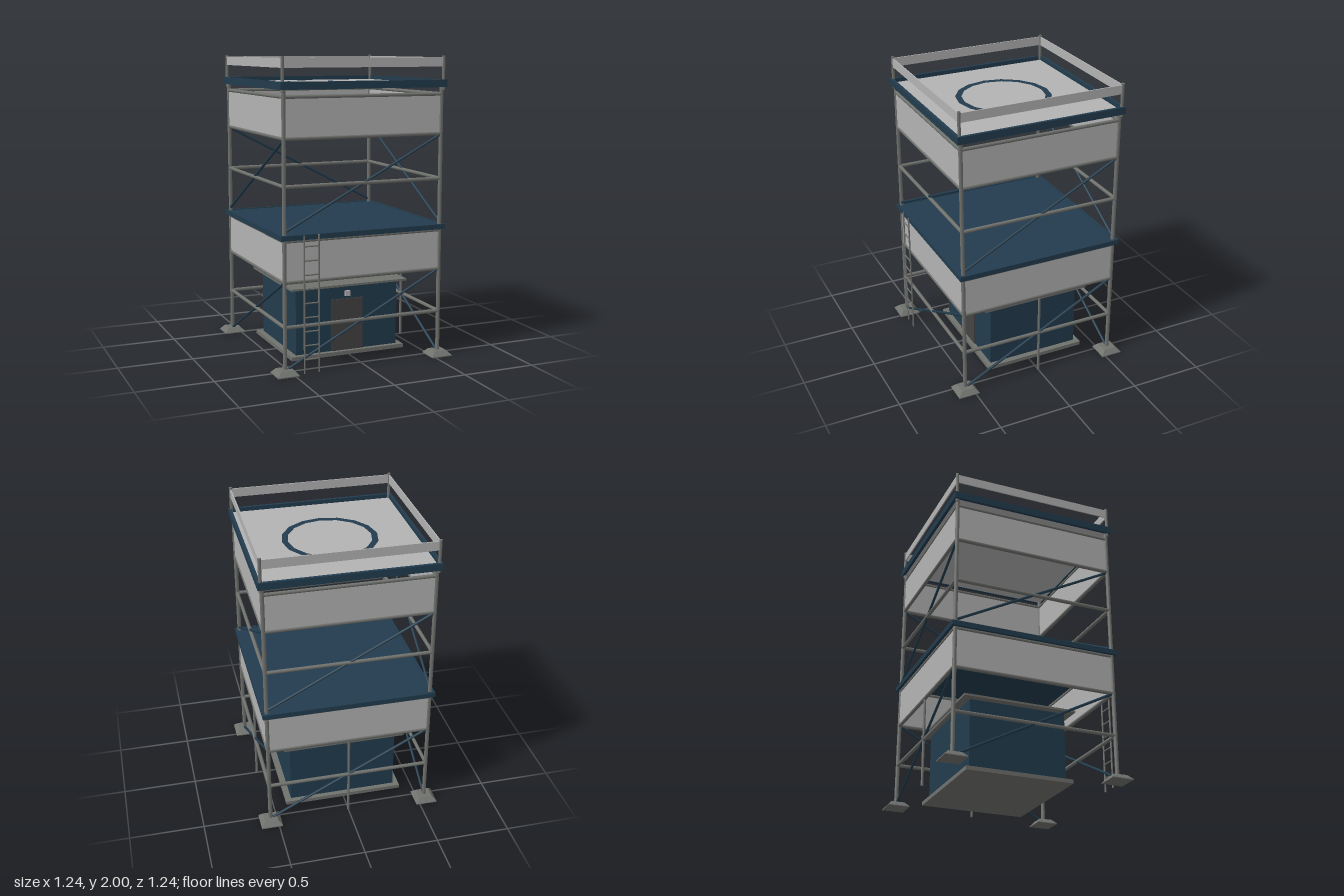
import * as THREE from 'three';

const mat = (name, color) => {
  const m = new THREE.MeshStandardMaterial({ color });
  m.name = name;
  return m;
};

export function createModel() {
  const navy = mat('navy paint', 0x223c4e);
  const steel = mat('grey steel', 0x70726e);
  const panel = mat('light grey panel', 0xb3b3b3);
  const dark = mat('dark door grey', 0x444444);

  const model = new THREE.Group();
  model.name = 'waterTower';

  const add = (parent, name, geo, material, x = 0, y = 0, z = 0) => {
    const mesh = new THREE.Mesh(geo, material);
    mesh.name = name;
    mesh.position.set(x, y, z);
    parent.add(mesh);
    return mesh;
  };
  const box = (parent, name, material, w, h, d, x, y, z) =>
    add(parent, name, new THREE.BoxGeometry(w, h, d), material, x, y, z);

  // Round bar between two points
  const bar = (parent, name, material, a, b, r) => {
    const from = new THREE.Vector3(...a), to = new THREE.Vector3(...b);
    const dir = to.clone().sub(from);
    const mesh = add(parent, name, new THREE.CylinderGeometry(r, r, dir.length(), 8), material);
    mesh.position.copy(from).add(to).multiplyScalar(0.5);
    mesh.quaternion.setFromUnitVectors(new THREE.Vector3(0, 1, 0), dir.normalize());
    return mesh;
  };

  const P = 0.548; // column offset from the centre

  // Corner columns, railing posts and tapered footings
  for (const sx of [-1, 1]) for (const sz of [-1, 1]) {
    const corner = new THREE.Group();
    corner.name = 'corner';
    model.add(corner);
    bar(corner, 'column', steel, [sx * P, 0, sz * P], [sx * P, 1.81, sz * P], 0.014);
    bar(corner, 'railingPost', steel, [sx * 0.557, 1.78, sz * 0.557], [sx * 0.557, 2, sz * 0.557], 0.011);
    const k = Math.SQRT2;
    const foot = new THREE.CylinderGeometry(0.045 * k, 0.073 * k, 0.03, 4, 1).toNonIndexed();
    foot.rotateY(Math.PI / 4);
    foot.computeVertexNormals();
    add(corner, 'footing', foot, steel, sx * P, 0.021, sz * P);
    box(corner, 'footingBase', steel, 0.146, 0.006, 0.146, sx * P, 0.003, sz * P);
  }

  // Four identical sides, each turned a quarter from the last
  for (let i = 0; i < 4; i++) {
    const side = new THREE.Group();
    side.name = 'side';
    side.rotation.y = i * Math.PI / 2;
    model.add(side);
    for (const y of [0.305, 0.595, 0.857, 1.2, 1.497, 1.753])
      bar(side, 'crossBeam', steel, [-P, y, P], [P, y, P], 0.0125);
    bar(side, 'lowerBrace', navy, [-P, 0.025, P], [P, 0.595, P], 0.009);
    bar(side, 'upperBrace', navy, [-P, 0.915, P], [P, 1.492, P], 0.009);
    box(side, 'lowerPanel', panel, 1.076, 0.25, 0.01, 0, 0.726, P);
    box(side, 'upperPanel', panel, 1.076, 0.25, 0.01, 0, 1.625, P);
    box(side, 'railingBand', panel, 1.1, 0.06, 0.008, 0, 1.96, 0.557);
    box(side, 'middleRim', navy, 1.154, 0.033, 0.02, 0, 0.881, 0.567);
    box(side, 'topRim', navy, 1.154, 0.048, 0.02, 0, 1.822, 0.567);
  }

  // Decks and the ring painted on the top one
  box(model, 'middleDeck', navy, 1.12, 0.026, 1.12, 0, 0.88, 0);
  box(model, 'topDeck', panel, 1.12, 0.016, 1.12, 0, 1.81, 0);
  const ring = add(model, 'deckRing', new THREE.RingGeometry(0.276, 0.317, 16), navy, 0, 1.822, 0);
  ring.rotation.x = -Math.PI / 2;

  // Middle support posts on the back and one side
  bar(model, 'backPost', steel, [0, 0, -P], [0, 0.595, -P], 0.009);
  bar(model, 'sidePost', steel, [P, 0, 0], [P, 0.595, 0], 0.009);

  // Hut under the tower
  const hut = new THREE.Group();
  hut.name = 'hut';
  hut.position.z = -0.048;
  model.add(hut);
  box(hut, 'hutSlab', steel, 0.82, 0.026, 0.72, 0, 0.013, 0);
  box(hut, 'hutWalls', navy, 0.74, 0.452, 0.652, 0, 0.252, 0);
  box(hut, 'hutRoof', steel, 0.84, 0.014, 0.765, 0, 0.484, 0);
  box(hut, 'door', dark, 0.225, 0.355, 0.009, 0, 0.204, 0.33);
  box(hut, 'doorLamp', panel, 0.037, 0.036, 0.018, 0, 0.418, 0.335);

  // Ladder to the middle deck
  const ladder = new THREE.Group();
  ladder.name = 'ladder';
  ladder.position.set(-0.378, 0, 0.581);
  model.add(ladder);
  for (const s of [-1, 1])
    bar(ladder, 'ladderRail', steel, [s * 0.05, 0, 0], [s * 0.05, 0.895, 0], 0.006);
  for (let i = 1; i <= 9; i++)
    bar(ladder, 'rung', steel, [-0.05, i * 0.0915, 0], [0.05, i * 0.0915, 0], 0.005);

  return model;
}
